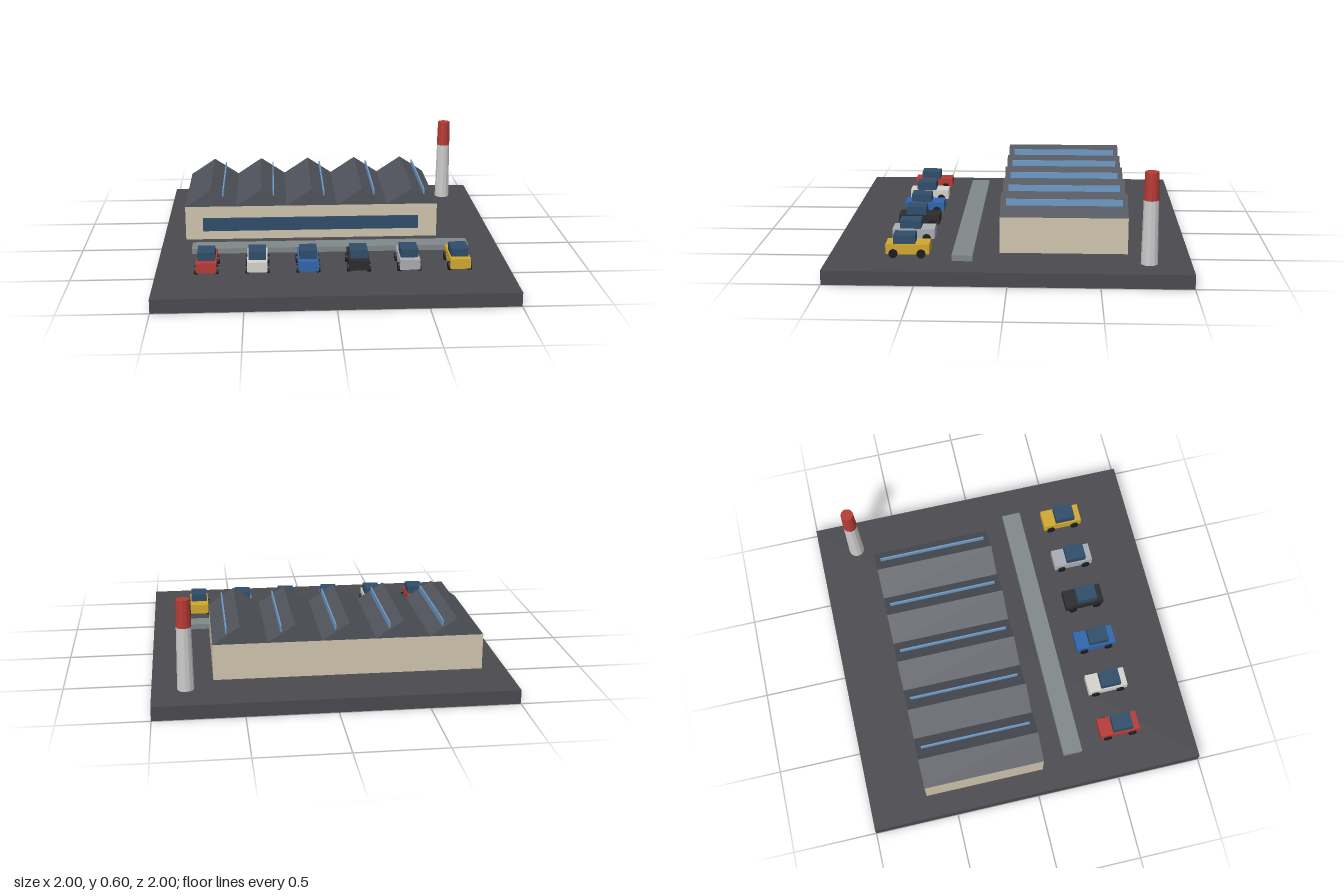
import * as THREE from 'three';

const mat = (color) => new THREE.MeshStandardMaterial({ color, flatShading: true });

function add(parent, name, geometry, material, x, y, z) {
  const mesh = new THREE.Mesh(geometry, material);
  mesh.name = name;
  mesh.position.set(x, y, z);
  parent.add(mesh);
  return mesh;
}

// Box given by its extents on each axis
function block(parent, name, material, [x0, x1], [y0, y1], [z0, z1]) {
  return add(parent, name, new THREE.BoxGeometry(x1 - x0, y1 - y0, z1 - z0), material,
    (x0 + x1) / 2, (y0 + y1) / 2, (z0 + z1) / 2);
}

const GROUND = 0.08;
const glass = mat(0x2f4d69);
const tyre = mat(0x1c1c1e);

// Parked car: body, cabin and four wheels, centred on its own origin
function createCar(color) {
  const car = new THREE.Group();
  car.name = 'car';
  block(car, 'carBody', mat(color), [-0.057, 0.057], [0.1, 0.158], [-0.121, 0.121]);
  block(car, 'carCabin', glass, [-0.049, 0.049], [0.158, 0.206], [-0.043, 0.078]);
  const wheel = new THREE.CylinderGeometry(0.025, 0.025, 0.02, 12).rotateZ(Math.PI / 2);
  for (const x of [-0.057, 0.057])
    for (const z of [-0.076, 0.079]) add(car, 'wheel', wheel, tyre, x, GROUND + 0.025, z);
  return car;
}

// Factory hall with a ridged roof
function createFactory() {
  const factory = new THREE.Group();
  factory.name = 'factory';
  const left = -0.865, right = 0.66, back = -0.66, front = 0.055, eaves = 0.287, ridge = 0.388;
  block(factory, 'walls', mat(0xcfc4ae), [left, right], [GROUND, eaves], [back, front]);
  block(factory, 'windowBand', glass, [-0.76, 0.545], [0.135, 0.215], [front - 0.01, front + 0.012]);

  // Five triangular roof bays, each with a thin upright skylight
  const bays = 5, width = (right - left) / bays;
  const gable = new THREE.Shape([
    new THREE.Vector2(-width / 2, 0),
    new THREE.Vector2(width / 2, 0),
    new THREE.Vector2(0, ridge - eaves),
  ]);
  const roofGeo = new THREE.ExtrudeGeometry(gable, { depth: front - back, bevelEnabled: false });
  const roofMat = mat(0x50535b), skylightMat = mat(0x6d9ac6);
  for (let i = 0; i < bays; i++) {
    const x = left + width * (i + 0.5);
    add(factory, 'roofBay', roofGeo, roofMat, x, eaves, back);
    block(factory, 'skylight', skylightMat, [x + 0.071, x + 0.079], [0.335, 0.372], [-0.63, 0.022]);
  }
  return factory;
}

// Tapered chimney with a red top section
function createChimney() {
  const chimney = new THREE.Group();
  chimney.name = 'chimney';
  chimney.position.set(0.813, 0, -0.768);
  const top = 0.595, split = 0.44;
  const section = (name, color, y0, y1, r0, r1) =>
    add(chimney, name, new THREE.CylinderGeometry(r1, r0, y1 - y0, 12), mat(color), 0, (y0 + y1) / 2, 0);
  section('chimneyShaft', 0xc9c9c6, GROUND, split, 0.047, 0.041);
  section('chimneyTop', 0xb63a35, split, top, 0.042, 0.038);
  return chimney;
}

export function createModel() {
  const model = new THREE.Group();
  model.name = 'factorySite';
  block(model, 'ground', mat(0x4a4a4f), [-1, 1], [0, GROUND], [-1, 1]);
  block(model, 'loadingStrip', mat(0x80888a), [-0.815, 0.815], [GROUND, 0.112], [0.197, 0.312]);
  model.add(createFactory(), createChimney());

  // Row of cars in front of the strip
  [0xb63a35, 0xd3d2cd, 0x2f66ad, 0x2c2c2f, 0xa9acb2, 0xd1a82f].forEach((color, i) => {
    const car = createCar(color);
    car.position.set(-0.713 + i * 0.285, 0, 0.56);
    model.add(car);
  });
  return model;
}
